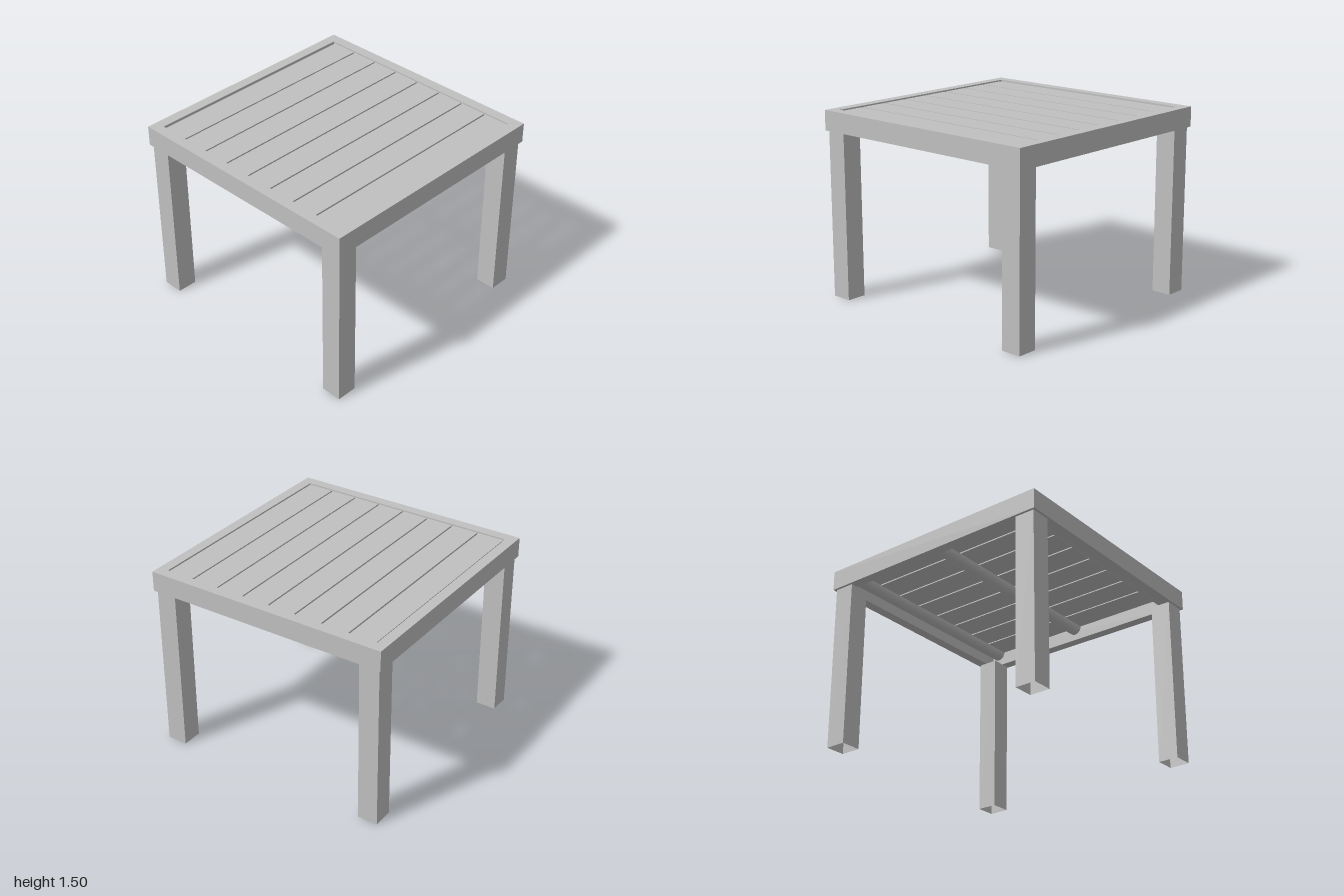
import * as THREE from 'three';

export function createModel() {
  const table = new THREE.Group();
  table.name = 'slattedTable';

  const paint = new THREE.MeshStandardMaterial({ color: 0xc0c0c0 });
  paint.name = 'lightGrey';
  // thin open tubes need both sides
  paint.side = THREE.DoubleSide;

  const TOP = 1.5, RIM = 1.34, INNER = 0.917;
  const SLAT_TOP = 1.489, SLAT_BOTTOM = 1.45;

  const add = (name, geometry, x, y, z) => {
    const mesh = new THREE.Mesh(geometry, paint);
    mesh.name = name;
    mesh.position.set(x, y, z);
    table.add(mesh);
    return mesh;
  };

  const square = (Type, h) =>
    new Type([[-h, -h], [h, -h], [h, h], [-h, h]].map(([x, y]) => new THREE.Vector2(x, y)));

  // Square frame around the top
  const outline = square(THREE.Shape, 1);
  outline.holes.push(square(THREE.Path, INNER));
  const frame = new THREE.ExtrudeGeometry(outline, { depth: TOP - RIM, bevelEnabled: false });
  frame.rotateX(-Math.PI / 2);
  add('frame', frame, 0, RIM, 0);

  // Eight slats running left to right, with narrow gaps
  const count = 8, pitch = 0.2288, gap = 0.013;
  const slat = new THREE.BoxGeometry(1.83, SLAT_TOP - SLAT_BOTTOM, pitch - gap);
  for (let i = 0; i < count; i++) {
    const z = 0.915 - i * pitch - (pitch - gap) / 2;
    add('slat', slat, 0, (SLAT_TOP + SLAT_BOTTOM) / 2, z);
  }

  // Half-round battens under the slats, running front to back
  const halfRound = new THREE.Shape();
  halfRound.absarc(0, 0, 0.059, Math.PI, Math.PI * 2, false);
  halfRound.closePath();
  const batten = new THREE.ExtrudeGeometry(halfRound, {
    depth: INNER * 2, bevelEnabled: false, curveSegments: 16,
  });
  batten.translate(0, 0, -INNER);
  for (const x of [-0.855, 0.02, 0.852]) add('batten', batten, x, SLAT_BOTTOM, 0);

  // Hollow square legs, open at the foot
  const side = 0.165;
  const tube = new THREE.CylinderGeometry(side / Math.SQRT2, side / Math.SQRT2, RIM, 4, 1, true);
  tube.rotateY(Math.PI / 4);
  const leg = tube.toNonIndexed();
  leg.computeVertexNormals();
  for (const x of [-1, 1]) {
    for (const z of [-1, 1]) add('leg', leg, x * 0.8975, RIM / 2, z * 0.8975);
  }

  return table;
}
